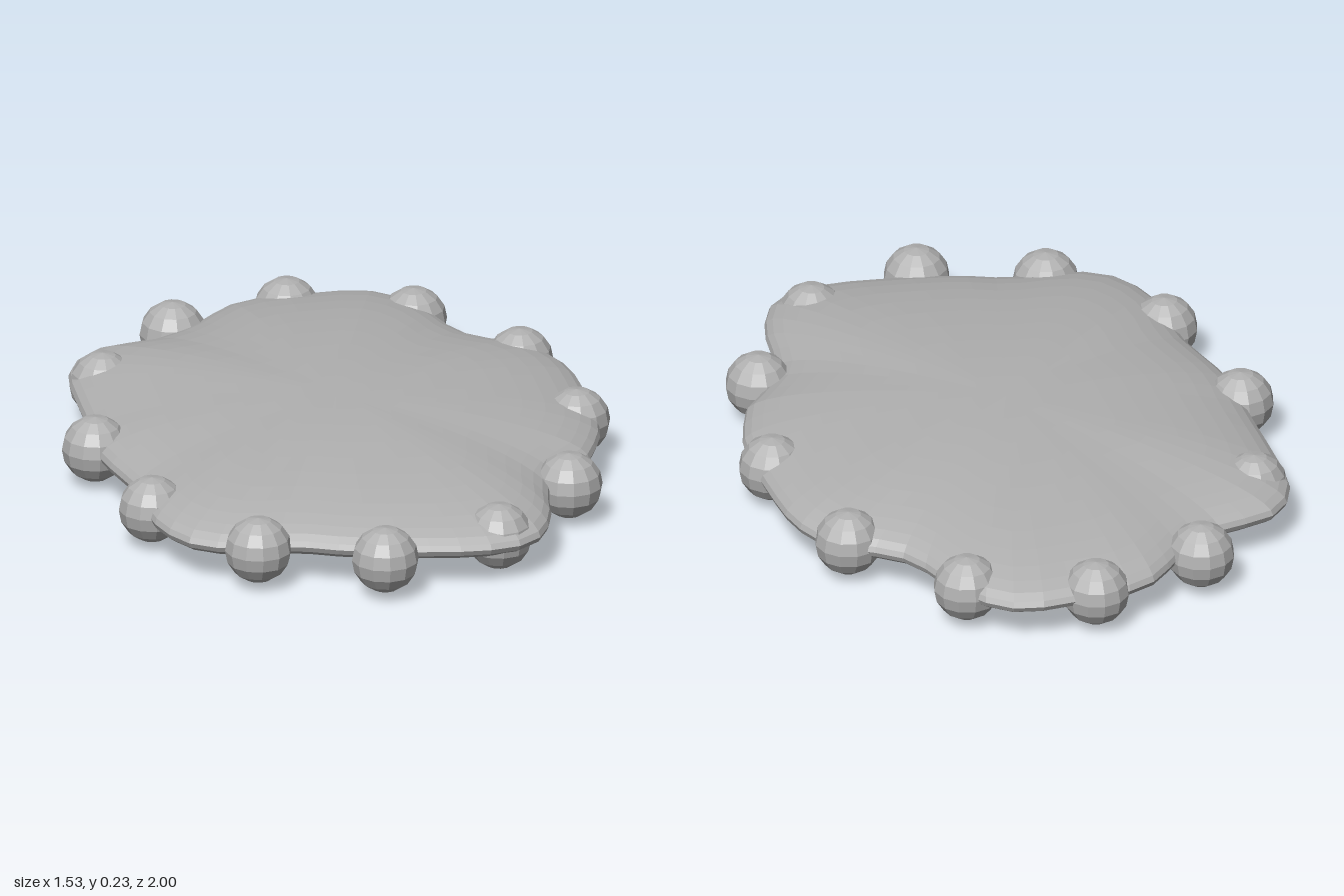
import * as THREE from 'three';

// Rim of the body seen from above: x, z pairs, clockwise from the back
const RIM = [
  0.08, -0.96, 0.22, -0.96, 0.3, -0.91, 0.37, -0.81, 0.41, -0.7, 0.445, -0.62, 0.51, -0.56,
  0.61, -0.5, 0.675, -0.41, 0.71, -0.29, 0.72, -0.16, 0.725, 0, 0.72, 0.11, 0.7, 0.19,
  0.655, 0.31, 0.6, 0.37, 0.54, 0.45, 0.51, 0.54, 0.5, 0.66, 0.465, 0.79, 0.41, 0.87,
  0.295, 0.905, 0.1, 0.89, -0.085, 0.855, -0.24, 0.8, -0.41, 0.785, -0.5, 0.75,
  -0.57, 0.65, -0.6, 0.53, -0.605, 0.355, -0.655, 0.16, -0.675, 0.05, -0.67, -0.1,
  -0.675, -0.34, -0.67, -0.5, -0.635, -0.59, -0.575, -0.65, -0.41, -0.69, -0.32, -0.75,
  -0.25, -0.82, -0.18, -0.9, -0.08, -0.945,
];

// Lens-shaped body: the rim shrinks towards both poles along an elliptic section
function bodyGeometry(segments, rows, midY, halfHeight) {
  const points = [];
  for (let i = 0; i < RIM.length; i += 2) points.push(new THREE.Vector3(RIM[i], 0, RIM[i + 1]));
  const rim = new THREE.CatmullRomCurve3(points, true).getSpacedPoints(segments);
  const geometry = new THREE.SphereGeometry(1, segments, rows);
  const position = geometry.attributes.position;
  for (let r = 0; r <= rows; r++) {
    const angle = (Math.PI * r) / rows;
    const scale = Math.sin(angle);
    for (let s = 0; s <= segments; s++) {
      // the sphere grid runs the other way round
      const p = rim[(segments - s) % segments];
      position.setXYZ(r * (segments + 1) + s, p.x * scale, midY + halfHeight * Math.cos(angle), p.z * scale);
    }
  }
  geometry.computeVertexNormals();
  return geometry;
}

export function createModel() {
  const model = new THREE.Group();
  const grey = new THREE.MeshStandardMaterial({ color: 0xb0b0b0 });
  grey.name = 'grey';
  grey.flatShading = true;

  const body = new THREE.Mesh(bodyGeometry(64, 24, 0.118, 0.116), grey);
  body.name = 'body';
  model.add(body);

  // Twelve beads spaced on an ellipse around the rim
  const beadGeometry = new THREE.SphereGeometry(0.093, 12, 8);
  const beads = new THREE.Group();
  beads.name = 'rimBeads';
  for (let i = 0; i < 12; i++) {
    const a = (i * Math.PI) / 6;
    const bead = new THREE.Mesh(beadGeometry, grey);
    bead.name = 'bead' + (i + 1);
    bead.position.set(0.67 * Math.cos(a), 0.112, 0.907 * Math.sin(a));
    beads.add(bead);
  }
  model.add(beads);

  // Rest the lowest point on the ground
  model.position.y = -0.002;
  return model;
}
